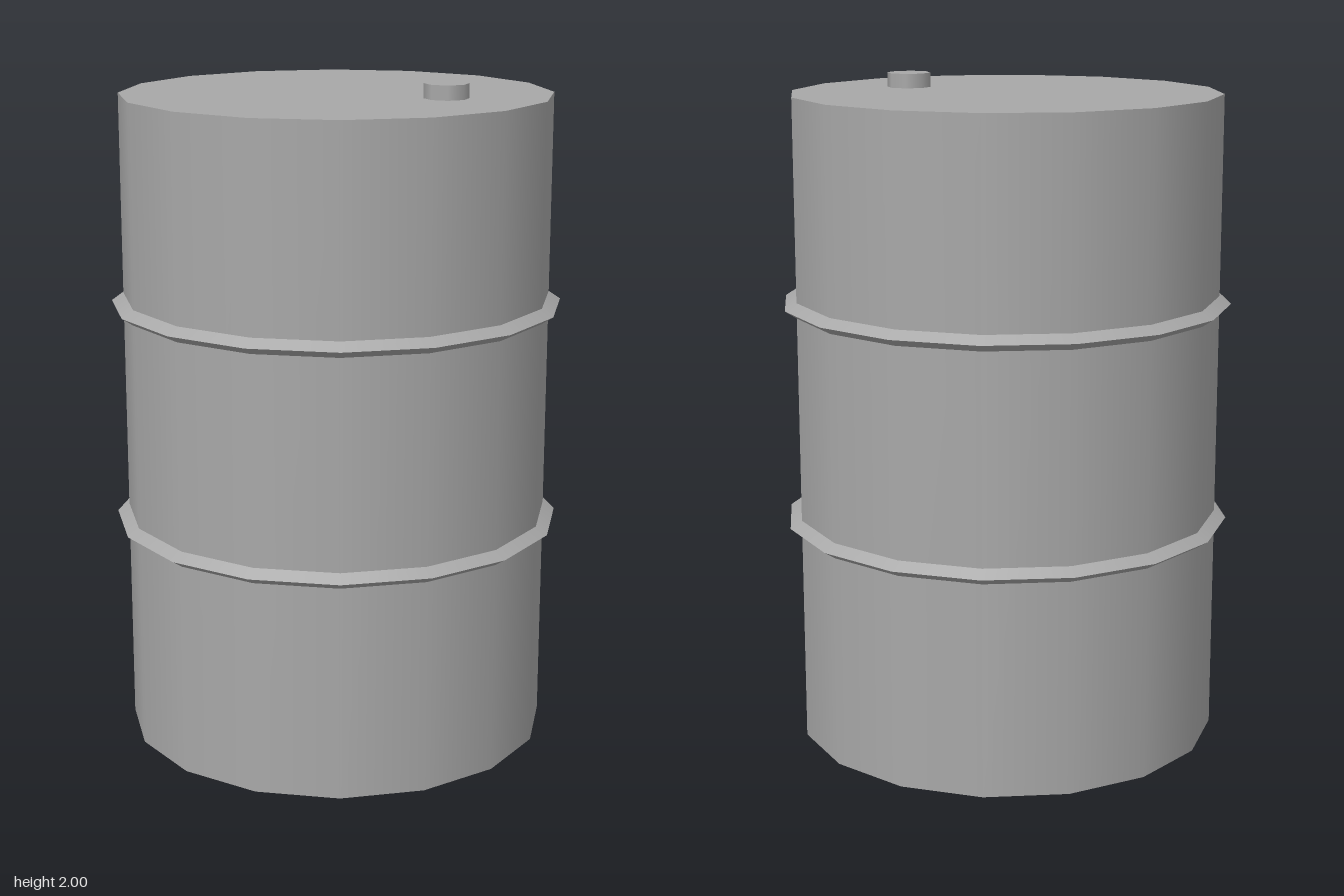
import * as THREE from 'three';

export function createModel() {
  const steel = new THREE.MeshStandardMaterial({ color: 0xa8a8a8 });
  steel.name = 'grey steel';
  const group = new THREE.Group();
  group.name = 'drum';

  const SIDES = 16, BODY_R = 0.642, RIB_R = 0.677, BODY_H = 1.957, RIB_HALF = 0.023;

  // Stands a cylinder or cone section on height y
  function section(name, parent, rTop, rBottom, height, y, sides, open = false) {
    const mesh = new THREE.Mesh(
      new THREE.CylinderGeometry(rTop, rBottom, height, sides, 1, open), steel);
    mesh.name = name;
    mesh.position.y = y + height / 2;
    parent.add(mesh);
    return mesh;
  }

  // Barrel with flat lid and base
  section('body', group, BODY_R, BODY_R, BODY_H, 0, SIDES);

  // Two sharp-edged rolling ribs, each an upper and a lower slope
  [['lowerRib', 0.668], ['upperRib', 1.335]].forEach(([name, y]) => {
    const rib = new THREE.Group();
    rib.name = name;
    section(name + 'Top', rib, BODY_R, RIB_R, RIB_HALF, y, SIDES, true);
    section(name + 'Underside', rib, RIB_R, BODY_R, RIB_HALF, y - RIB_HALF, SIDES, true);
    group.add(rib);
  });

  // Filler cap on the lid, toward the back left
  const cap = section('fillerCap', group, 0.066, 0.066, 2 - BODY_H, BODY_H, 8);
  cap.position.x = 0.331;
  cap.position.z = -0.112;

  return group;
}
